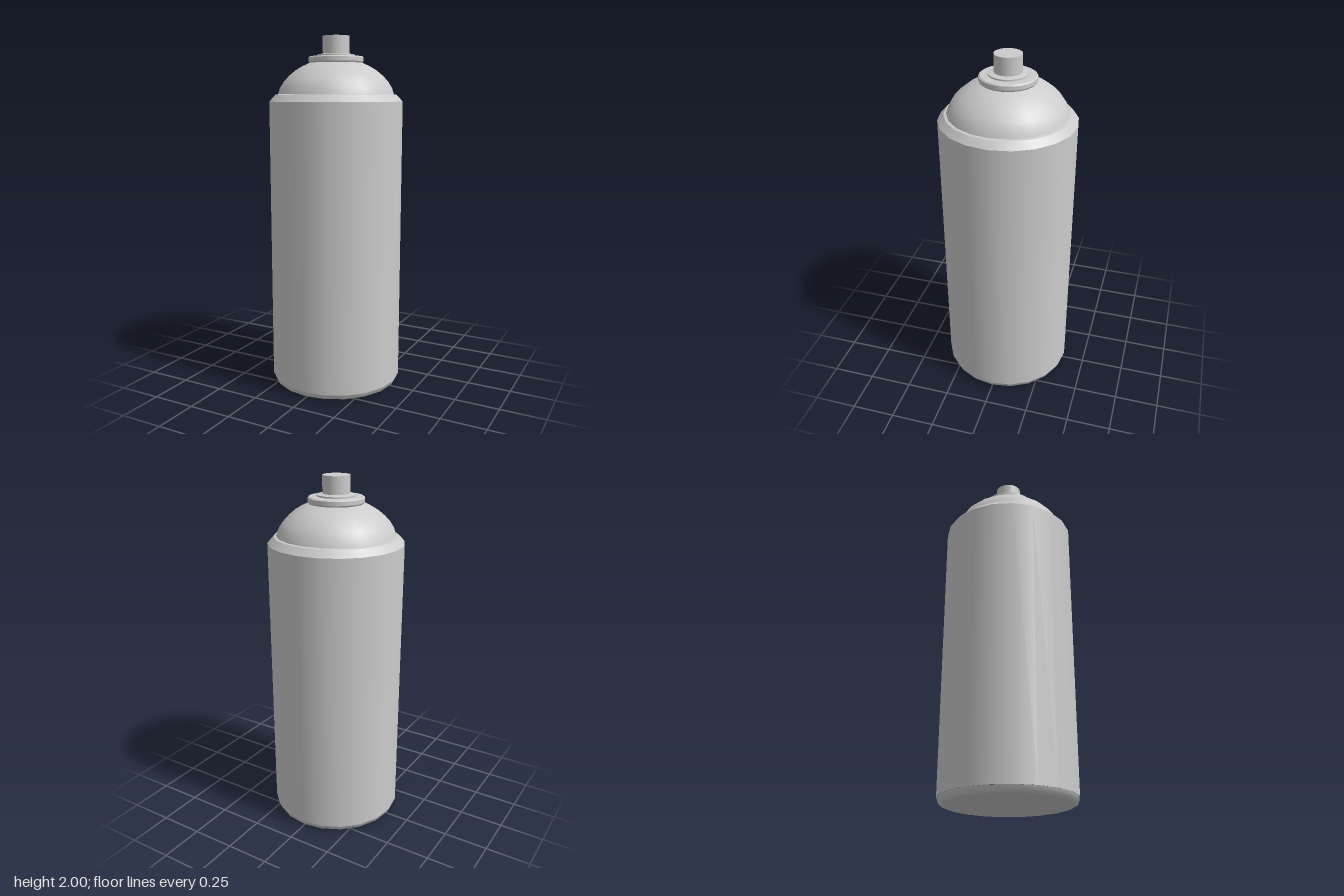
import * as THREE from 'three';

const SIDES = 20;
const material = new THREE.MeshStandardMaterial({ color: 0xcccccc });

// A named part made of lathed bands; each band is smooth, with hard edges between bands.
function turned(name, ...bands) {
  const part = new THREE.Group();
  part.name = name;
  bands.forEach((band, i) => {
    const points = band.map(([r, y]) => new THREE.Vector2(r, y));
    const mesh = new THREE.Mesh(new THREE.LatheGeometry(points, SIDES), material);
    mesh.name = `${name}Band${i + 1}`;
    part.add(mesh);
  });
  return part;
}

export function createModel() {
  const can = new THREE.Group();
  can.name = 'sprayCan';

  can.add(
    // Flat base, rounded bottom edge, straight wall and bevelled shoulder
    turned('body',
      [[0, 0], [0.345, 0]],
      [[0.345, 0], [0.365, 0.008], [0.375, 0.035]],
      [[0.377, 0.035], [0.377, 1.64]],
      [[0.377, 1.64], [0.343, 1.677]],
      [[0.343, 1.677], [0.328, 1.68]]),
    // Domed top
    turned('dome',
      [[0.328, 1.68], [0.316, 1.715], [0.294, 1.75], [0.264, 1.782],
        [0.227, 1.812], [0.19, 1.834], [0.15, 1.852]]),
    // Crimped valve ring
    turned('valveRing',
      [[0.15, 1.852], [0.155, 1.86]],
      [[0.155, 1.86], [0.155, 1.882]],
      [[0.155, 1.882], [0.148, 1.888]],
      [[0.148, 1.888], [0.107, 1.89]]),
    // Small collar around the nozzle
    turned('collar',
      [[0.107, 1.89], [0.107, 1.898]],
      [[0.107, 1.898], [0.075, 1.904]]),
    // Push button nozzle
    turned('nozzle',
      [[0.075, 1.9], [0.075, 2]],
      [[0.075, 2], [0, 2]]),
  );
  return can;
}
